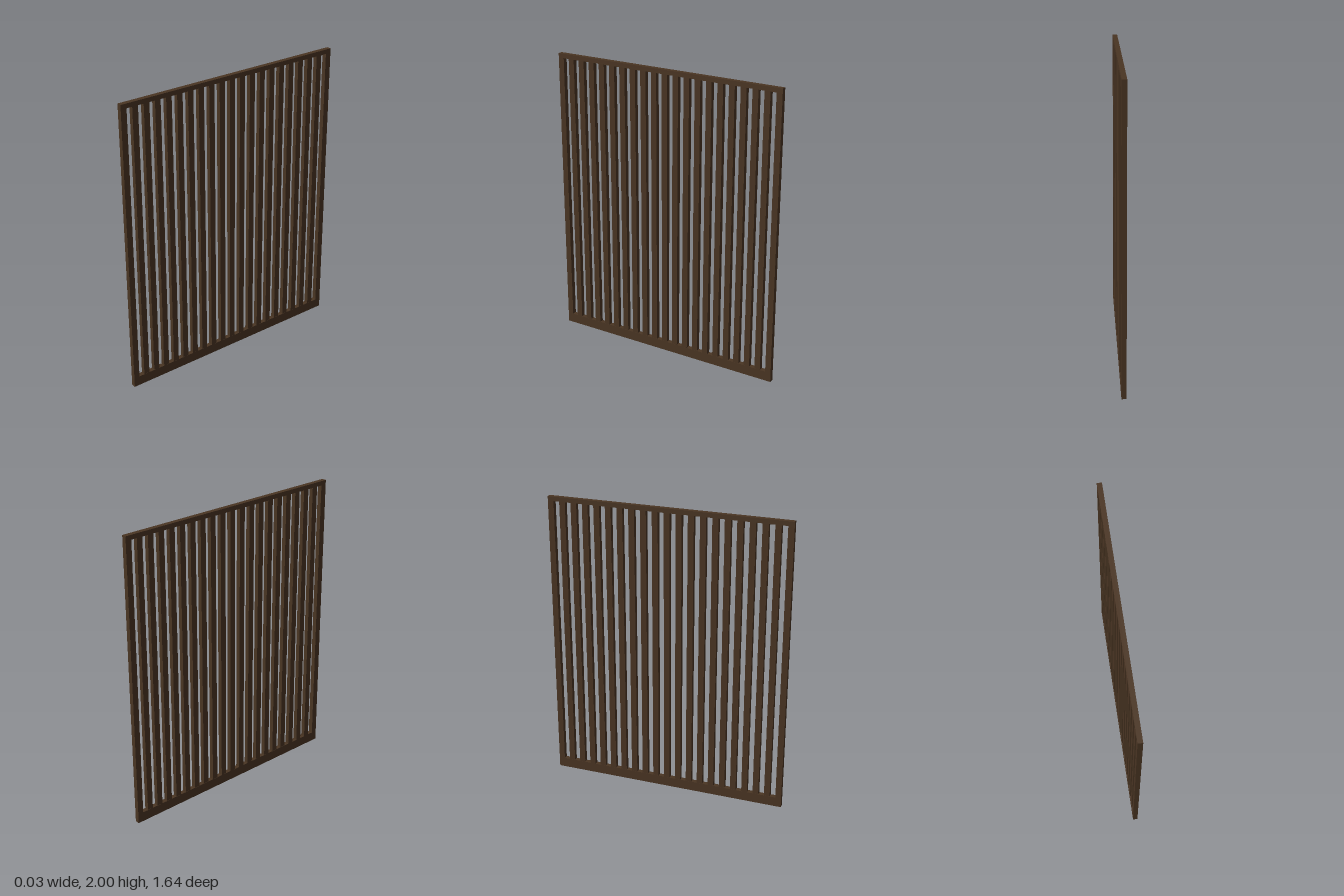
import * as THREE from 'three';

const HEIGHT = 2, WIDTH = 1.64, DEPTH = 0.032;
const SLAT = 0.04, COUNT = 21, TOP_RAIL = 0.03, BOTTOM_RAIL = 0.067;

export function createModel() {
  const group = new THREE.Group();
  group.name = 'slattedScreen';
  const wood = new THREE.MeshStandardMaterial({ color: 0x4a3523 });

  const addBox = (name, depth, height, width, y, z) => {
    const mesh = new THREE.Mesh(new THREE.BoxGeometry(depth, height, width), wood);
    mesh.name = name;
    mesh.position.set(0, y, z);
    group.add(mesh);
  };

  // Horizontal rails, the lower one taller
  addBox('bottomRail', DEPTH, BOTTOM_RAIL, WIDTH, BOTTOM_RAIL / 2, 0);
  addBox('topRail', DEPTH, TOP_RAIL, WIDTH, HEIGHT - TOP_RAIL / 2, 0);

  // Evenly spaced upright slats between the rails, the outer two acting as posts
  const slatHeight = HEIGHT - TOP_RAIL - BOTTOM_RAIL;
  const pitch = (WIDTH - SLAT) / (COUNT - 1);
  for (let i = 0; i < COUNT; i++) {
    const isPost = i === 0 || i === COUNT - 1;
    addBox(isPost ? 'endPost' : 'slat', isPost ? DEPTH : DEPTH - 0.002, slatHeight, SLAT,
      BOTTOM_RAIL + slatHeight / 2, (i - (COUNT - 1) / 2) * pitch);
  }
  return group;
}
